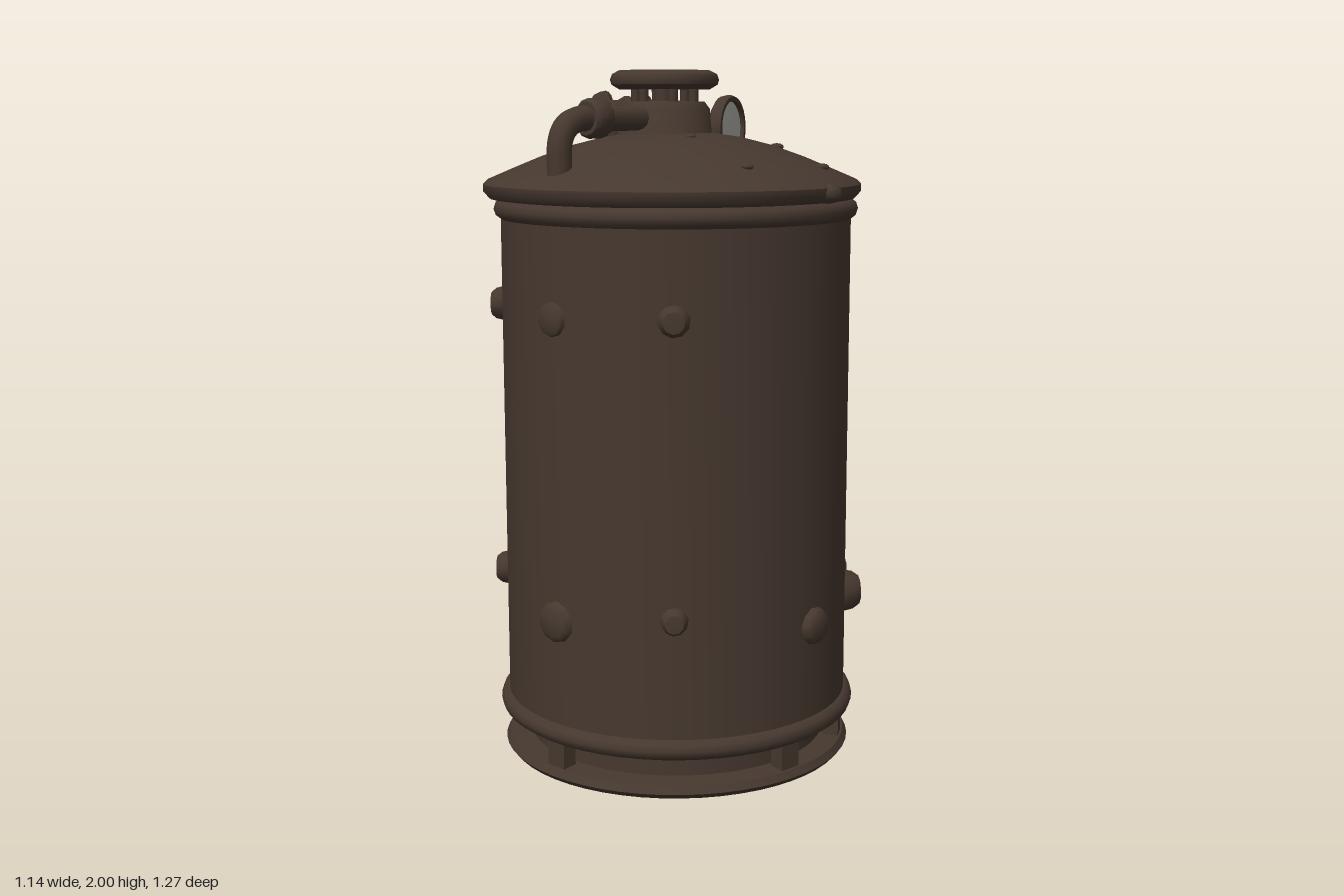
import * as THREE from 'three';
import { toCreasedNormals } from 'three/addons/utils/BufferGeometryUtils.js';

const CX = 0.015, CZ = 0.08, R = 0.505; // tank axis and wall radius

export function createModel() {
  const model = new THREE.Group();
  const iron = new THREE.MeshStandardMaterial({ color: 0x46382f });
  iron.name = 'dark brown iron';
  const dial = new THREE.MeshStandardMaterial({ color: 0xb4b4ac });
  dial.name = 'pale dial';

  const V = (x, y, z) => new THREE.Vector3(x, y, z);
  const add = (name, geo, mat = iron, parent = model) => {
    const m = new THREE.Mesh(geo, mat);
    m.name = name;
    parent.add(m);
    return m;
  };
  // Turned part: profile of [radius, height] pairs, bottom to top
  const turned = (name, pts, segs = 48, mat = iron, parent = model) =>
    add(name, toCreasedNormals(new THREE.LatheGeometry(
      pts.map(p => new THREE.Vector2(...p)), segs), 0.75), mat, parent);
  // Turned part whose axis starts at a point and runs along a direction
  const turnedAlong = (name, pts, at, dir, segs = 16, mat = iron) => {
    const m = turned(name, pts, segs, mat);
    m.position.copy(at);
    m.quaternion.setFromUnitVectors(V(0, 1, 0), dir.clone().normalize());
    return m;
  };
  const collar = (name, at, dir, r, len, segs = 12) => turnedAlong(name,
    [[0, -len / 2], [r * 0.85, -len / 2], [r, -len / 3], [r, len / 3], [r * 0.85, len / 2], [0, len / 2]],
    at, dir, segs);
  // Pipe with straight runs and rounded corners
  const pipe = (name, pts, r, bend) => {
    const path = new THREE.CurvePath();
    let last = pts[0];
    for (let i = 1; i < pts.length - 1; i++) {
      const a = pts[i].clone().add(pts[i - 1].clone().sub(pts[i]).setLength(bend));
      const b = pts[i].clone().add(pts[i + 1].clone().sub(pts[i]).setLength(bend));
      path.add(new THREE.LineCurve3(last, a));
      path.add(new THREE.QuadraticBezierCurve3(a, pts[i], b));
      last = b;
    }
    path.add(new THREE.LineCurve3(last, pts[pts.length - 1]));
    return add(name, new THREE.TubeGeometry(path, 60, r, 12));
  };
  const outward = deg => V(Math.sin(deg * Math.PI / 180), 0, Math.cos(deg * Math.PI / 180));
  const onWall = (deg, y, r = R) => outward(deg).multiplyScalar(r).add(V(CX, y, CZ));

  // Tank wall with its sunken base
  const tank = turned('tank', [[0, 0.03], [0.44, 0.03], [0.44, 0.13], [R, 0.13], [R, 0.9], [R, 1.64]], 56);
  tank.position.set(CX, 0, CZ);

  // Foot ring and the short posts that carry the tank
  const foot = turned('footRing', [[0.43, 0.04], [0.43, 0.01], [0.45, 0], [0.505, 0.01], [0.517, 0.025],
    [0.505, 0.045], [0.44, 0.05], [0.43, 0.04]], 56);
  foot.position.set(CX, 0, CZ);
  for (const deg of [-54, 0, 84, 122, 180, 238, 285]) {
    const post = add('footPost', new THREE.BoxGeometry(0.065, 0.1, 0.045));
    post.position.copy(onWall(deg, 0.085, 0.475));
    post.rotation.y = deg * Math.PI / 180;
  }

  // Rounded bands at the bottom and under the lid
  const band = (name, y, r, t) => {
    const g = new THREE.TorusGeometry(r, t, 10, 56);
    add(name, g.rotateX(Math.PI / 2)).position.set(CX, y, CZ);
  };
  band('lowerBand', 0.152, 0.5, 0.03);
  band('upperBand', 1.61, 0.495, 0.03);

  // Domed lid with rolled rim
  const domeProfile = [[0.53, 1.692], [0.46, 1.722], [0.38, 1.755], [0.29, 1.787], [0.2, 1.81], [0.1, 1.825], [0, 1.83]];
  const lid = turned('lid', [[R - 0.02, 1.635], [0.525, 1.64], [0.543, 1.66], [0.543, 1.68], ...domeProfile], 56);
  lid.position.set(CX - 0.005, 0, CZ + 0.01);
  const domeHeight = r => {
    const i = Math.max(1, domeProfile.findIndex(p => p[0] <= r));
    const [a, b] = [domeProfile[i - 1], domeProfile[i]];
    return a[1] + (b[1] - a[1]) * (a[0] - r) / (a[0] - b[0]);
  };
  // Small worn lumps on the lid
  for (const [x, z, s] of [[0.05, -0.34, 0.03], [-0.03, -0.22, 0.02], [0.2, -0.15, 0.022], [0.41, -0.1, 0.022],
    [0.41, 0.22, 0.02], [-0.4, 0.23, 0.025], [-0.19, -0.16, 0.018], [0.16, 0.17, 0.015], [-0.3, -0.02, 0.015]]) {
    const lump = add('lidLump', new THREE.SphereGeometry(s, 6, 5));
    lump.scale.y = 0.5;
    lump.position.set(x, domeHeight(Math.hypot(x - 0.01, z - 0.09)), z);
  }
  // Lumps on the lid rim
  for (const deg of [96, 165, 270]) {
    const lump = add('rimLump', new THREE.SphereGeometry(0.04, 8, 6));
    lump.scale.y = 0.7;
    lump.position.copy(onWall(deg, 1.665, 0.52));
  }

  // Filler neck and hand wheel
  const neck = turned('neck', [[0.15, 1.8], [0.135, 1.825], [0.13, 1.89], [0.115, 1.91], [0, 1.915]], 28);
  const wheel = turned('handWheel', [[0, 1.945], [0.13, 1.945], [0.152, 1.958], [0.156, 1.972],
    [0.15, 1.988], [0.13, 1.998], [0, 2]], 32);
  const stem = turned('wheelStem', [[0.03, 1.9], [0.03, 1.95]], 10);
  for (const m of [neck, wheel, stem]) m.position.set(-0.01, 0, 0.1);
  for (let i = 0; i < 6; i++) {
    const a = i * Math.PI / 3;
    add('wheelPost', new THREE.CylinderGeometry(0.014, 0.014, 0.06, 8))
      .position.set(-0.01 + 0.085 * Math.sin(a), 1.925, 0.1 + 0.085 * Math.cos(a));
  }

  // Outlet pipe bending down into the front of the lid
  pipe('outletPipe', [V(0.01, 1.865, 0.2), V(0.015, 1.865, 0.535), V(0.018, 1.69, 0.535)], 0.035, 0.1);
  collar('outletCollar', V(0.013, 1.865, 0.4), V(0, 0, 1), 0.055, 0.065);

  // Small relief valve beside the neck
  collar('reliefStub', V(-0.23, 1.82, 0.1), V(0, 1, 0), 0.035, 0.1);
  collar('reliefBody', V(-0.225, 1.865, 0.095), V(0, 0, 1), 0.05, 0.14, 8);
  for (const z of [0.035, 0.155]) collar('reliefFlange', V(-0.23, 1.865, z), V(0, 0, 1), 0.062, 0.03, 8);
  collar('reliefCap', V(-0.175, 1.89, 0.05), V(1, 0.5, -0.3), 0.035, 0.09, 8);
  collar('reliefTip', V(-0.27, 1.9, 0.09), V(-0.5, 1, 0), 0.03, 0.07, 8);

  // Gauge pipe down the back and round to the side
  pipe('gaugePipe', [V(-0.25, 1.75, -0.43), V(-0.255, 0.93, -0.43), V(-0.54, 0.875, -0.06), V(-0.46, 0.87, -0.01)],
    0.024, 0.07);
  collar('gaugePipeCollar', V(-0.252, 1.39, -0.43), V(0, 1, 0), 0.042, 0.075);
  collar('gaugeNeck', V(-0.25, 1.68, -0.43), V(0, 1, 0), 0.038, 0.09);
  collar('pipeWallFlange', V(-0.525, 0.87, -0.04), V(-1, 0, -0.3), 0.04, 0.06);

  // Pressure gauge with pale dial
  const gaugeAxis = V(0.95, 0, -0.31), gaugeAt = V(-0.255, 1.828, -0.435);
  turnedAlong('gaugeCase', [[0, -0.03], [0.08, -0.026], [0.1, -0.012], [0.105, 0.012], [0.1, 0.026],
    [0.087, 0.026], [0.084, 0.012], [0, 0.012]], gaugeAt, gaugeAxis, 28);
  turnedAlong('gaugeDial', [[0.085, 0.014], [0, 0.016]], gaugeAt, gaugeAxis, 28, dial);

  // Drain valve at the back
  turnedAlong('drainValve', [[0.075, 0], [0.06, 0.025], [0.06, 0.07], [0.035, 0.08], [0.035, 0.11], [0.055, 0.115],
    [0.055, 0.14], [0.035, 0.145], [0.035, 0.165], [0.075, 0.17], [0.08, 0.18], [0.08, 0.205], [0.07, 0.215], [0, 0.217]],
  V(0.035, 0.405, -0.42), V(0, 0, -1), 18);

  // Rivet heads and plugs on the wall: angle, height, radius, projection
  for (const [deg, y, r, h] of [[-48, 1.33, 0.045, 0.035], [2, 1.33, 0.045, 0.015], [43, 1.34, 0.04, 0.035],
    [-48, 0.53, 0.045, 0.035], [2, 0.48, 0.055, 0.02], [43, 0.52, 0.035, 0.035], [94, 0.45, 0.05, 0.025],
    [141, 0.44, 0.06, 0.055], [270, 0.47, 0.045, 0.025], [176, 1.47, 0.035, 0.03], [176, 1.36, 0.03, 0.025]]) {
    turnedAlong('wallRivet', [[r * 1.2, -0.02], [r, h * 0.6], [r * 0.75, h], [0, h * 1.05]],
      onWall(deg, y), outward(deg), 10);
  }

  // Loose flake of plate high on the back
  const flake = add('wallFlake', new THREE.BoxGeometry(0.05, 0.15, 0.025));
  flake.position.copy(onWall(165, 1.53));
  flake.rotation.set(0, 165 * Math.PI / 180, 0.3);

  return model;
}
